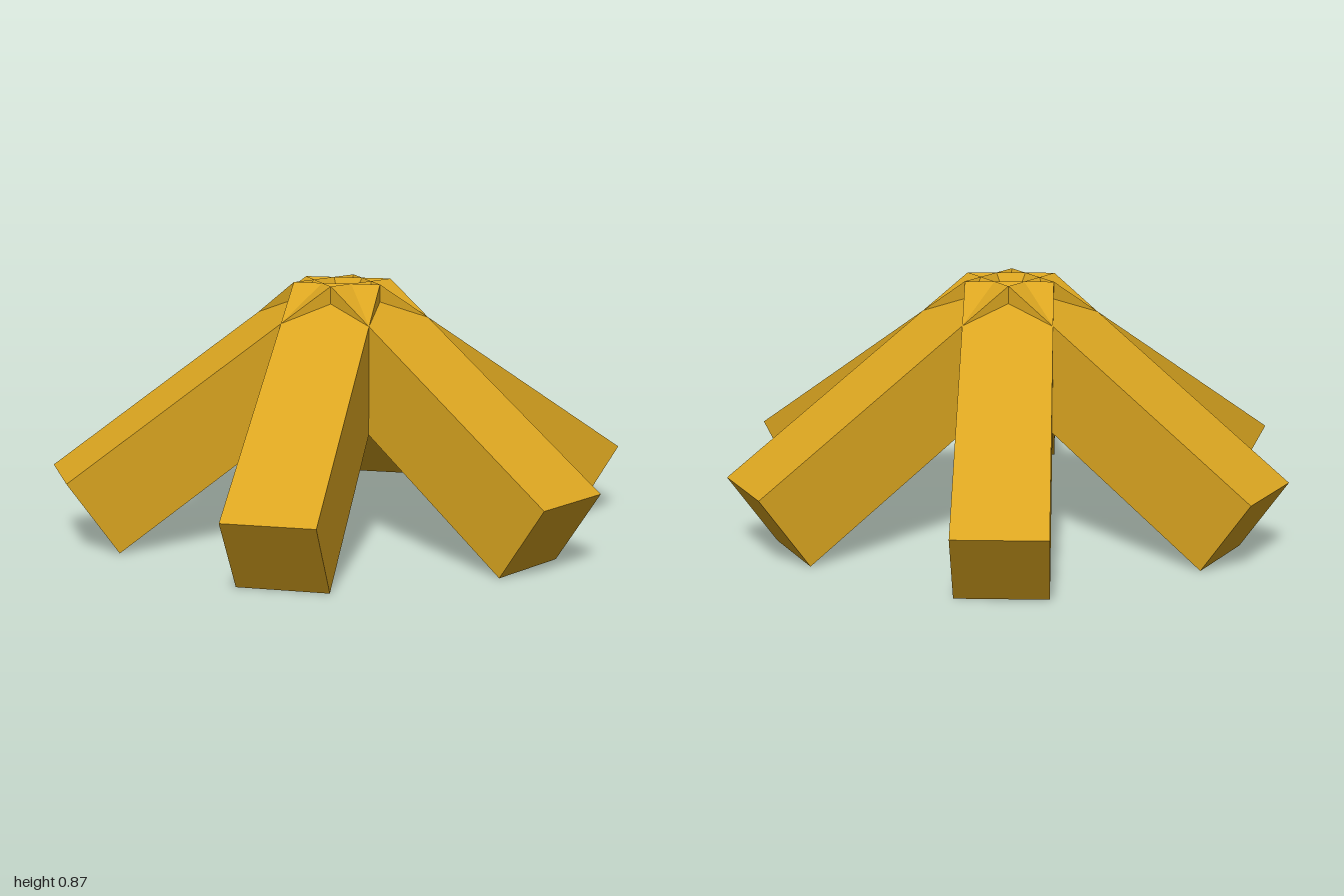
import * as THREE from 'three';

export function createModel() {
  const group = new THREE.Group();
  group.name = 'sixLeggedStand';

  const gold = new THREE.MeshStandardMaterial({ color: 0xdaa520 });
  gold.name = 'gold';

  // Square beam sloping down and outward; its upper end runs past the hub
  const tilt = Math.atan2(0.624, 0.912);
  const side = 0.304;
  const beam = new THREE.BoxGeometry(side, side, 1.105);
  beam.rotateX(tilt);
  beam.translate(0, 0.438, 0.458);
  beam.computeBoundingBox();
  beam.translate(0, -beam.boundingBox.min.y, 1 - beam.boundingBox.max.z);

  // Six legs spread evenly around the vertical axis
  for (let i = 0; i < 6; i++) {
    const leg = new THREE.Mesh(beam, gold);
    leg.name = `leg${i + 1}`;
    leg.rotation.y = (i * Math.PI) / 3;
    group.add(leg);
  }
  return group;
}
